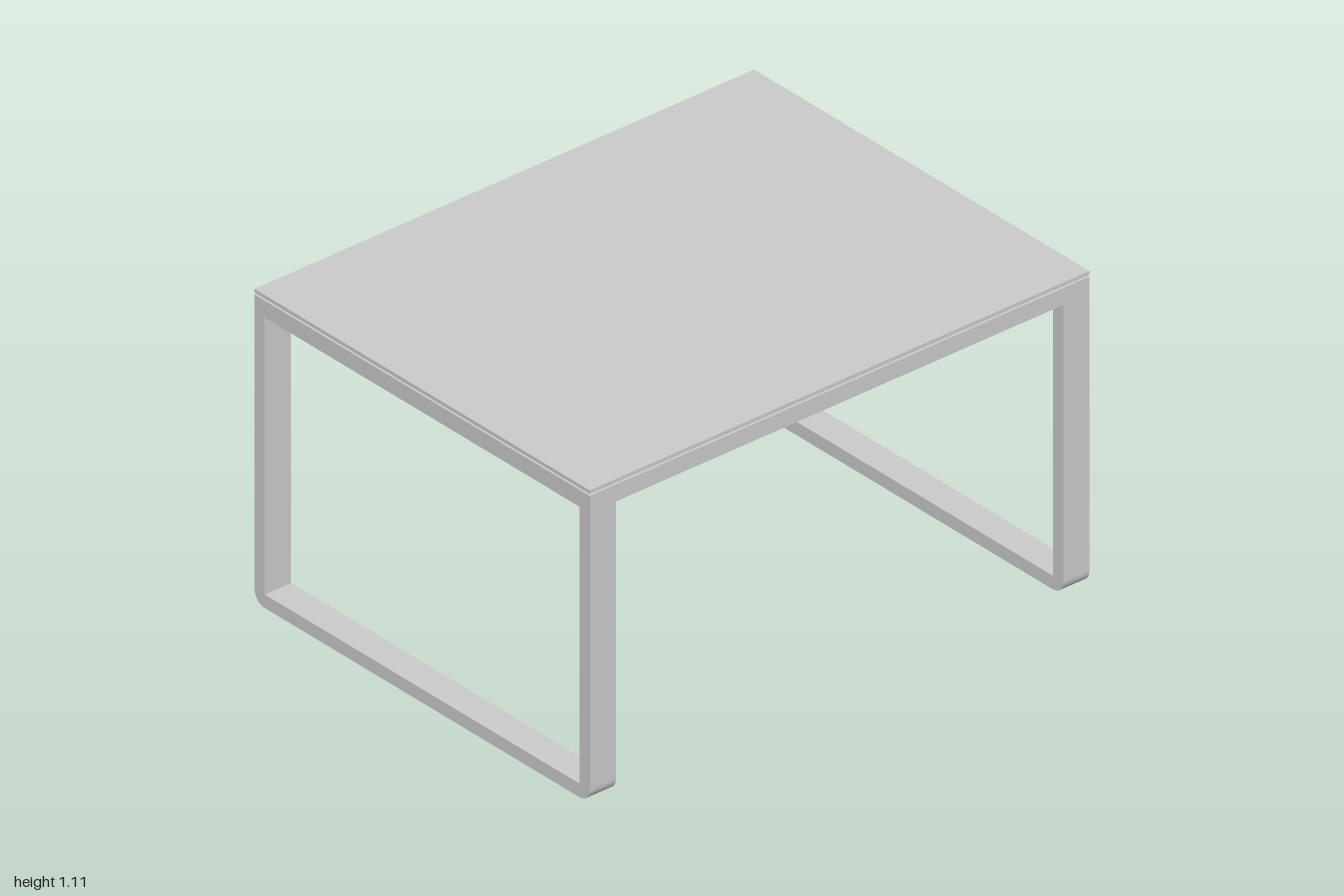
import * as THREE from 'three';

const HALF_X = 1, HALF_Z = 0.785;
const BAR_W = 0.105, BAR_T = 0.048;
const RAIL_BOTTOM = 1.03, FRAME_TOP = 1.09;
const SLAB_BOTTOM = 1.097, TOP = 1.11;

export function createModel() {
  const group = new THREE.Group();
  const material = new THREE.MeshStandardMaterial({ color: 0xcccccc, flatShading: true });

  const add = (name, geometry, x = 0, y = 0, z = 0) => {
    const mesh = new THREE.Mesh(geometry, material);
    mesh.name = name;
    mesh.position.set(x, y, z);
    group.add(mesh);
  };
  const addBox = (name, w, h, d, x, y, z) => add(name, new THREE.BoxGeometry(w, h, d), x, y, z);

  // Thin table top, floating just above the frame
  addBox('tableTop', HALF_X * 2, TOP - SLAB_BOTTOM, HALF_Z * 2, 0, (TOP + SLAB_BOTTOM) / 2, 0);

  // Closed side loop with rounded lower outer corners, drawn in z-y and extruded along x
  const r = BAR_T, inner = HALF_Z - BAR_T;
  const loop = new THREE.Shape();
  loop.moveTo(HALF_Z, r);
  loop.lineTo(HALF_Z, FRAME_TOP);
  loop.lineTo(-HALF_Z, FRAME_TOP);
  loop.lineTo(-HALF_Z, r);
  loop.absarc(-HALF_Z + r, r, r, Math.PI, Math.PI * 1.5, false);
  loop.lineTo(HALF_Z - r, 0);
  loop.absarc(HALF_Z - r, r, r, -Math.PI / 2, 0, false);
  loop.holes.push(new THREE.Path([
    new THREE.Vector2(-inner, BAR_T), new THREE.Vector2(-inner, RAIL_BOTTOM),
    new THREE.Vector2(inner, RAIL_BOTTOM), new THREE.Vector2(inner, BAR_T),
  ]));
  const loopGeometry = new THREE.ExtrudeGeometry(loop, { depth: BAR_W, bevelEnabled: false, curveSegments: 4 });
  loopGeometry.translate(0, 0, -BAR_W / 2);
  loopGeometry.rotateY(Math.PI / 2);

  for (const s of [-1, 1]) {
    add(s > 0 ? 'leftLegLoop' : 'rightLegLoop', loopGeometry, s * (HALF_X - BAR_W / 2));

    // Rails joining the two loops
    addBox(s > 0 ? 'frontRail' : 'backRail', (HALF_X - BAR_W) * 2, FRAME_TOP - RAIL_BOTTOM, BAR_T,
      0, (FRAME_TOP + RAIL_BOTTOM) / 2, s * (HALF_Z - BAR_T / 2));

    // Small pads carrying the top
    for (const t of [-1, 1]) {
      addBox('spacerPad', 0.03, SLAB_BOTTOM - FRAME_TOP, 0.03,
        s * (HALF_X - BAR_W / 2), (SLAB_BOTTOM + FRAME_TOP) / 2, t * (HALF_Z - 0.03));
    }
  }
  return group;
}
